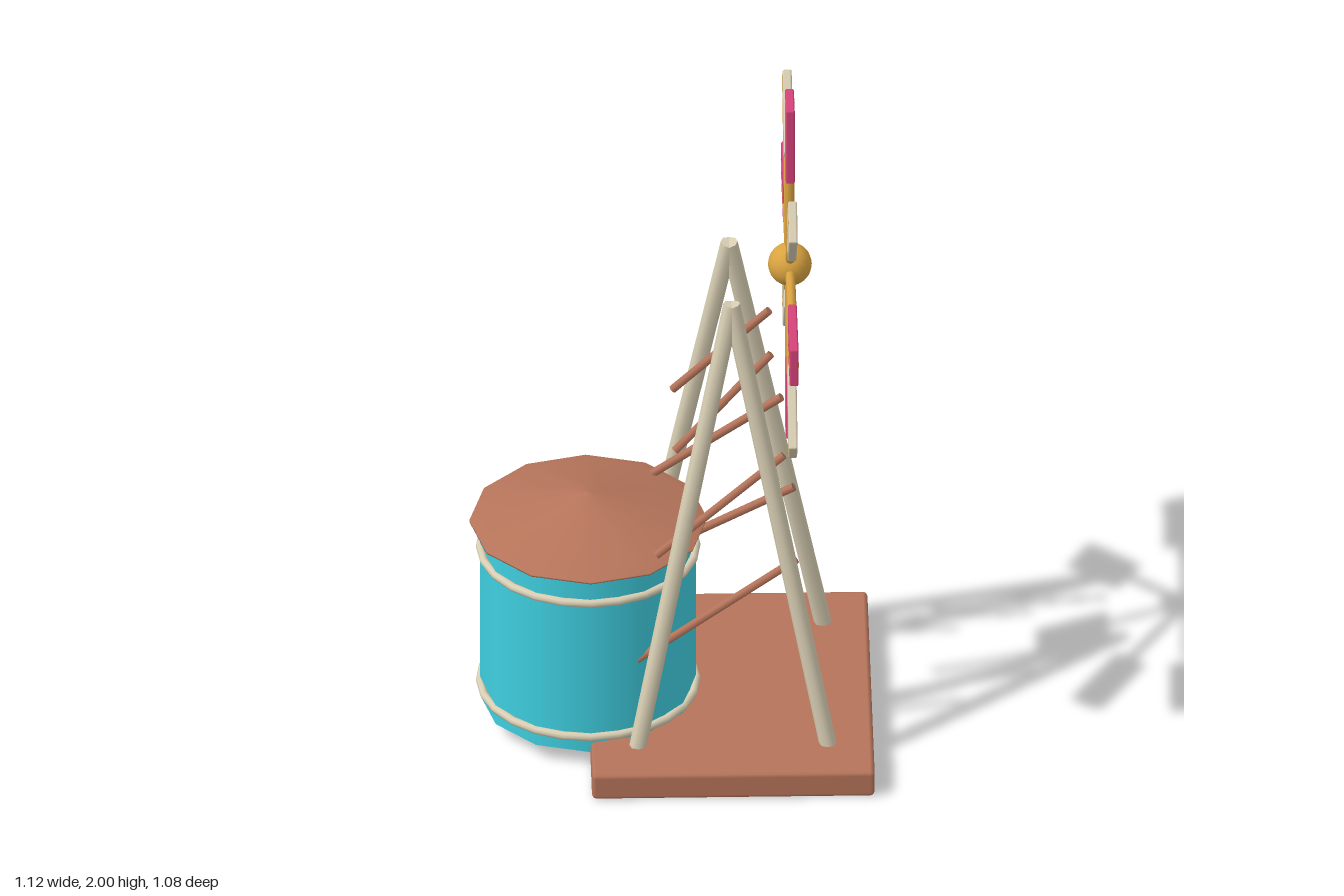
import * as THREE from 'three';
import { RoundedBoxGeometry } from 'three/addons/geometries/RoundedBoxGeometry.js';

const mat = (color) => new THREE.MeshStandardMaterial({ color });
const V = (x, y, z) => new THREE.Vector3(x, y, z);

export function createModel() {
  const model = new THREE.Group();
  model.name = 'windPump';
  const brown = mat(0xb5745a), cream = mat(0xd9cfb4), teal = mat(0x3fcfe0);
  const gold = mat(0xd9a340), pink = mat(0xd6437a);

  const add = (parent, name, geometry, material, x = 0, y = 0, z = 0) => {
    const mesh = new THREE.Mesh(geometry, material);
    mesh.name = name;
    mesh.position.set(x, y, z);
    parent.add(mesh);
    return mesh;
  };

  // Round bar between two points
  const bar = (parent, name, a, b, radius, material, sides = 8) => {
    const dir = b.clone().sub(a);
    const mesh = add(parent, name, new THREE.CylinderGeometry(radius, radius, dir.length(), sides), material);
    mesh.position.copy(a).add(b).multiplyScalar(0.5);
    mesh.quaternion.setFromUnitVectors(V(0, 1, 0), dir.normalize());
    return mesh;
  };

  // Chamfered base slab
  add(model, 'base', new RoundedBoxGeometry(0.785, 0.08, 0.94, 1, 0.012), brown, 0.163, 0.04, 0);

  // Water tank with hoops and shallow roof
  const tank = new THREE.Group();
  tank.name = 'waterTank';
  tank.position.x = -0.23;
  model.add(tank);
  const wall = new THREE.CylinderGeometry(0.3, 0.3, 0.58, 12);
  wall.rotateY(Math.PI / 2);
  add(tank, 'tankWall', wall, teal, 0, 0.34, 0);
  for (const y of [0.1, 0.54]) {
    const hoop = new THREE.TorusGeometry(0.3, 0.012, 8, 24);
    hoop.rotateX(Math.PI / 2);
    add(tank, 'tankHoop', hoop, cream, 0, y, 0);
  }
  const roofProfile = [[0, 0.622], [0.33, 0.622], [0.33, 0.627], [0.295, 0.636], [0.05, 0.706], [0, 0.715]];
  add(tank, 'tankRoof',
    new THREE.LatheGeometry(roofProfile.map(([r, y]) => new THREE.Vector2(r, y)), 12), brown);

  // Two mirrored A-frames, each with three slanting braces
  const braces = [
    [[-0.1, 0.325, 0.255], [0.345, 0.605, 0.186]],
    [[-0.045, 0.64, 0.212], [0.31, 0.925, 0.15]],
    [[0.008, 0.95, 0.158], [0.275, 1.235, 0.112]],
  ];
  for (const s of [1, -1]) {
    const frame = new THREE.Group();
    frame.name = s > 0 ? 'frontFrame' : 'backFrame';
    model.add(frame);
    for (const x of [-0.1, 0.43]) {
      bar(frame, 'leg', V(x, 0.07, s * 0.313), V(0.165, 1.43, s * 0.16), 0.024, cream);
    }
    for (const [a, b] of braces) {
      bar(frame, 'brace', V(a[0], a[1], s * a[2]), V(b[0], b[1], s * b[2]), 0.012, brown);
    }
  }

  // Eight-bladed wheel facing +x
  const wheel = new THREE.Group();
  wheel.name = 'windWheel';
  wheel.position.set(0.33, 1.46, 0);
  model.add(wheel);
  add(wheel, 'hub', new THREE.SphereGeometry(0.061, 20, 14), gold);
  for (let i = 0; i < 8; i++) {
    const arm = new THREE.Group();
    arm.name = 'bladeArm';
    arm.rotation.x = (i * Math.PI) / 4;
    wheel.add(arm);
    bar(arm, 'spoke', V(0, 0, 0), V(0, 0.538, 0), 0.0135, gold);
    add(arm, 'blade', new RoundedBoxGeometry(0.025, 0.24, 0.12, 1, 0.005), i % 2 ? cream : pink, 0, 0.42, 0);
  }
  return model;
}
